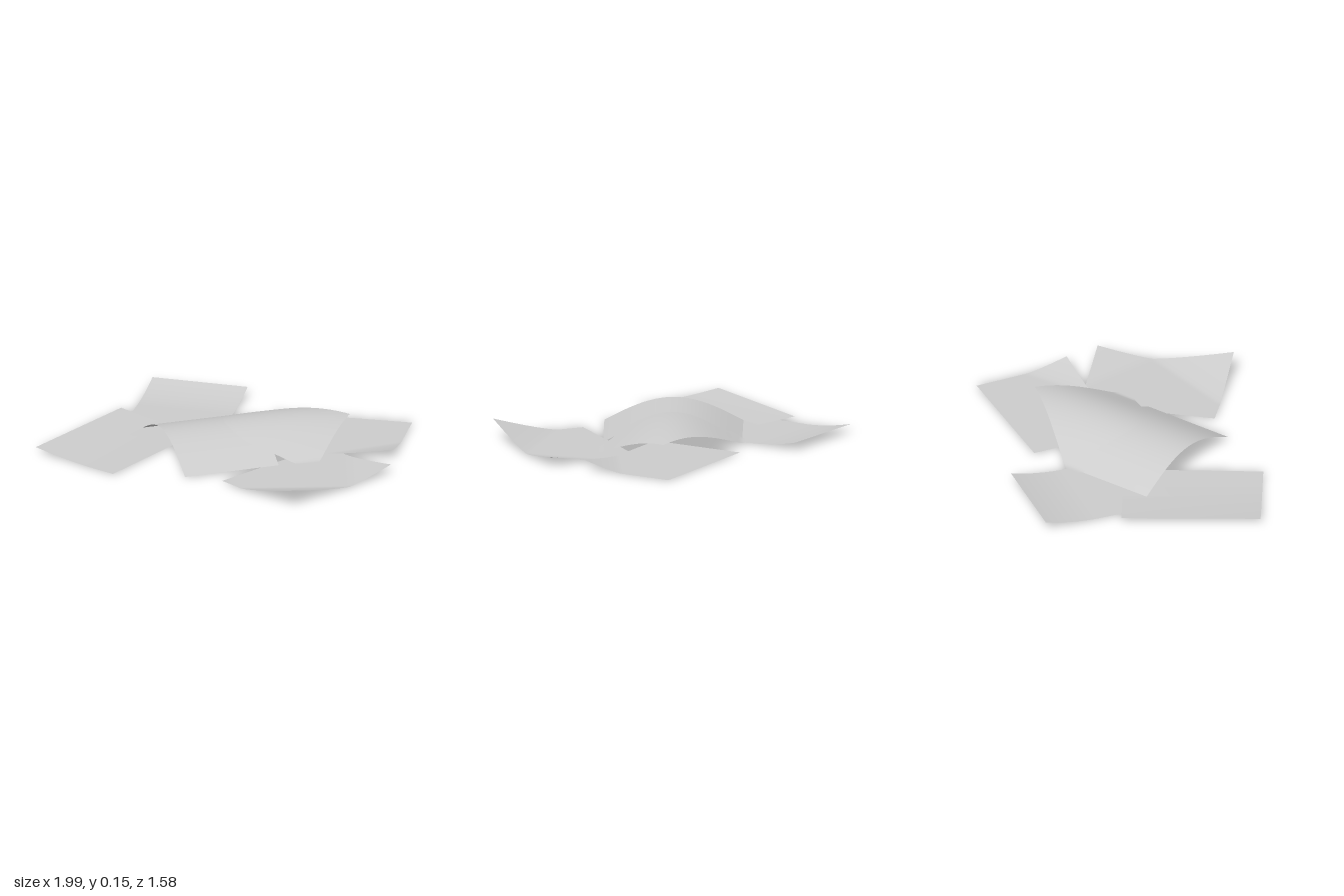
import * as THREE from 'three';

const paper = new THREE.MeshStandardMaterial({ color: 0xcccccc, side: THREE.DoubleSide });
paper.name = 'paper grey';

// A sheet spans origin + a*U + b*V on the floor (a, b in 0..1) and is lifted by a height rule
function sheet(name, [ox, oz], [ux, uz], [vx, vz], height) {
  const geo = new THREE.PlaneGeometry(1, 1, 32, 32);
  const pos = geo.attributes.position;
  for (let i = 0; i < pos.count; i++) {
    const a = pos.getX(i) + 0.5, b = 0.5 - pos.getY(i);
    const x = ox + a * ux + b * vx, z = oz + a * uz + b * vz;
    pos.setXYZ(i, x, height(a, b, x, z), z);
  }
  geo.computeVertexNormals();
  const mesh = new THREE.Mesh(geo, paper);
  mesh.name = name;
  return mesh;
}

// Corner or edge curl: da, db are distances from the corner, ra, rb how far the curl reaches
const curl = (lift, da, ra, db, rb, power = 1.3) =>
  lift * Math.max(0, 1 - da / ra - db / rb) ** power;

// Long arch shared by the two sheets on top of the pile
function arch(x, z) {
  const t = ((x + 0.64) * 0.608 + (z - 0.07) * 0.556) / 0.679;
  return 0.14 * Math.sin(Math.PI * THREE.MathUtils.clamp(t, 0, 1));
}

export function createModel() {
  const group = new THREE.Group();
  group.name = 'scatteredPaperSheets';
  group.add(
    // Flat sheets with curled edges and corners
    sheet('backRightSheet', [-0.93, -0.56], [0.565, -0.144], [0.205, 0.79],
      (a, b) => 0.004 + curl(0.044, b, 0.4, 0, 1, 1.8)),
    sheet('frontRightSheet', [-0.885, -0.107], [0.57, 0.08], [-0.115, 0.815],
      (a, b) => curl(0.02 + 0.01 * b, a, 0.75, 0, 1, 1.7)),
    sheet('backLeftSheet', [-0.08, -0.535], [0.785, -0.255], [0.18, 0.555],
      (a, b) => 0.003 + curl(0.055, 1 - a, 0.48, 1 - b, 0.45)),
    sheet('frontLeftSheet', [0.437, -0.215], [0.553, 0.176], [-0.25, 0.782],
      (a, b) => 0.002 + curl(0.108, 1 - a, 0.72, 1 - b, 0.6, 1.2)
        + curl(0.053, 1 - a, 0.65, b, 0.4)),
    // Arched sheets on top
    sheet('lowerArchedSheet', [-0.25, -0.363], [0.608, 0.556], [-0.39, 0.433],
      (a, b, x, z) => 0.003 + arch(x, z)),
    sheet('upperArchedSheet', [-0.342, -0.358], [0.807, -0.112], [0.085, 0.577],
      (a, b, x, z) => 0.007 + arch(x, z) * (1.02 - 0.75 * ((x - 0.1) ** 2 + (z + 0.12) ** 2))),
  );
  return group;
}
